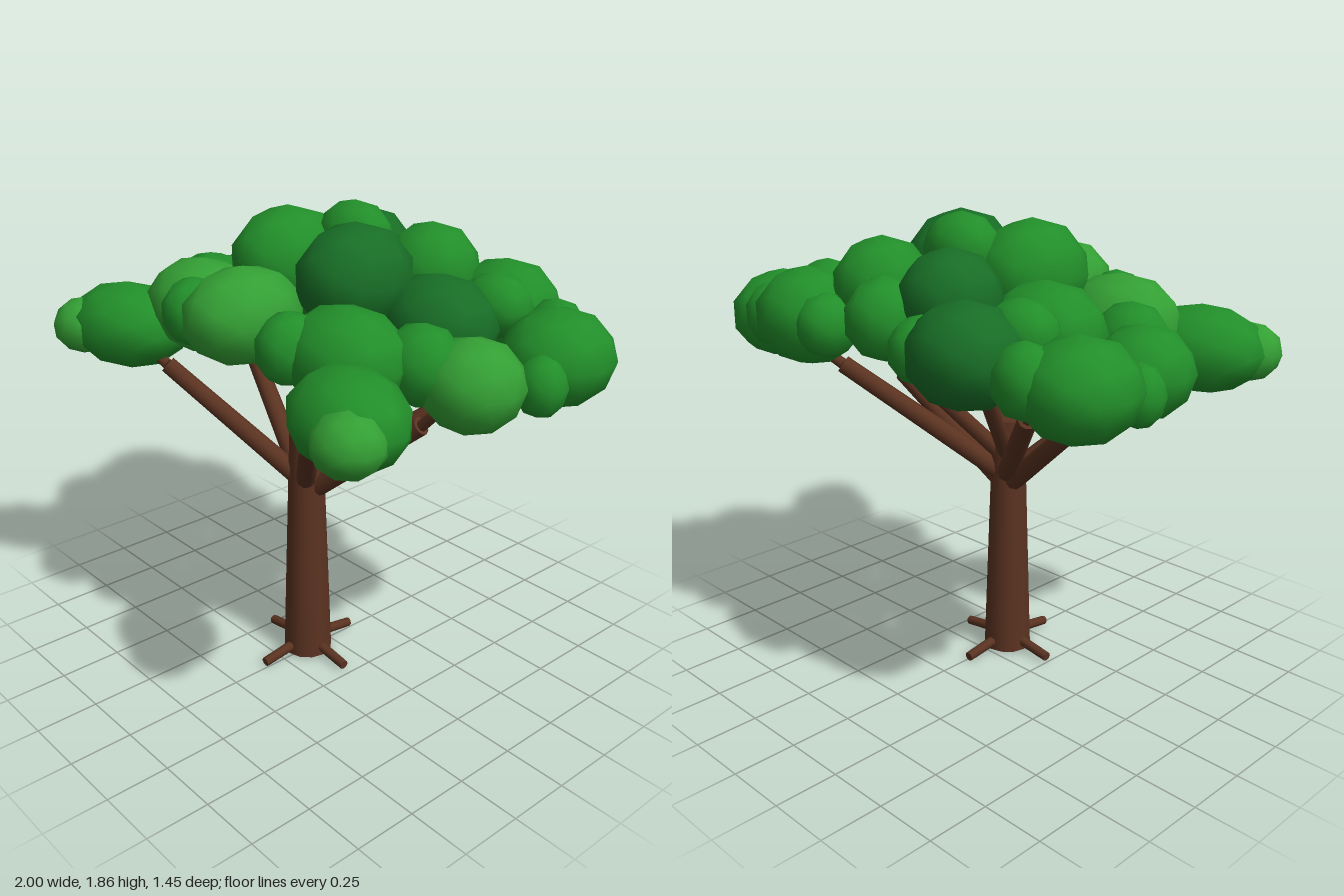
import * as THREE from 'three';

const CX = -0.012; // centre of the trunk
const LEAF_X = -0.007; // mirror line of the foliage
const TRUNK_Z = 0.11;
const material = (color) => new THREE.MeshStandardMaterial({ color });
const bark = material(0x5b3321);
const leaf = { L: material(0x34a034), M: material(0x228f2a), D: material(0x186e26) };

// Tapered round limb between two points
function limb(name, from, to, r0, r1, sides = 10) {
  const a = new THREE.Vector3(...from);
  const b = new THREE.Vector3(...to);
  const dir = b.clone().sub(a);
  const mesh = new THREE.Mesh(new THREE.CylinderGeometry(r1, r0, dir.length(), sides), bark);
  mesh.position.copy(a).add(b).multiplyScalar(0.5);
  mesh.quaternion.setFromUnitVectors(new THREE.Vector3(0, 1, 0), dir.normalize());
  mesh.name = name;
  return mesh;
}

// Leaf clump: centre x, y, z (x from the mirror line), then the three radii
const clumpGeometry = new THREE.IcosahedronGeometry(1, 1);
function clump([x, y, z, rx, ry, rz], shade, turn = 0) {
  const mesh = new THREE.Mesh(clumpGeometry, leaf[shade]);
  mesh.position.set(LEAF_X + x, y, z);
  mesh.scale.set(rx, ry, rz).multiplyScalar(1.03);
  mesh.rotation.y = turn;
  mesh.name = 'leafClump';
  return mesh;
}

// Paired clumps: centre and radii, shades on the +x and -x sides, turn
const pairs = [
  [[0.645, 1.36, 0.48, 0.25, 0.165, 0.195], 'MM', -0.33], // front corners
  [[0.78, 1.35, 0.6, 0.125, 0.11, 0.125], 'LL', -0.3],
  [[0.415, 1.455, 0.285, 0.24, 0.18, 0.205], 'ML', 0], // front inner
  [[0.28, 1.485, 0.42, 0.11, 0.13, 0.125], 'MM', 0],
  [[0.188, 1.64, 0.037, 0.192, 0.2, 0.232], 'DM', 0], // crown
  [[0.182, 1.6, -0.365, 0.185, 0.18, 0.187], 'MD', 0],
  [[0.435, 1.49, -0.147, 0.225, 0.18, 0.2], 'DM', 0], // middle ring
  [[0.52, 1.535, -0.36, 0.14, 0.12, 0.12], 'MM', 0],
  [[0.425, 1.475, -0.527, 0.212, 0.183, 0.198], 'MD', 0], // back
  [[0.26, 1.47, -0.57, 0.115, 0.12, 0.12], 'MM', 0],
  [[0.795, 1.405, -0.38, 0.2, 0.175, 0.215], 'MM', 0], // outer sides
  [[0.68, 1.435, -0.51, 0.12, 0.13, 0.11], 'MM', 0],
  [[0.745, 1.38, 0.005, 0.178, 0.165, 0.187], 'LM', 0],
  [[0.605, 1.44, 0.11, 0.147, 0.145, 0.14], 'MM', 0],
  [[0.88, 1.365, -0.19, 0.092, 0.11, 0.092], 'MM', 0],
];

// Paired limbs: foot and end (x from the trunk), radius, end of the twig
const limbs = [
  ['frontLimb', [0.02, 0.8, 0.13], [0.43, 1.24, 0.45], 0.04, [0.6, 1.34, 0.5]],
  ['sideLimb', [0.02, 0.75, 0.1], [0.49, 1.14, -0.025], 0.042, [0.66, 1.31, -0.04]],
  ['backLimb', [0.02, 0.8, 0.08], [0.51, 1.23, -0.32], 0.042, [0.67, 1.35, -0.42]],
  ['rearLimb', [0.02, 0.88, 0.08], [0.27, 1.38, -0.34], 0.033, [0.34, 1.43, -0.45]],
];

export function createModel() {
  const tree = new THREE.Group();
  tree.name = 'tree';

  // Trunk and four short roots
  tree.add(limb('trunk', [CX, 0.012, TRUNK_Z], [CX, 1.022, TRUNK_Z], 0.1, 0.066, 12));
  for (let i = 0; i < 4; i++) {
    const c = Math.cos(i * Math.PI / 2);
    const s = Math.sin(i * Math.PI / 2);
    tree.add(limb('root', [CX + c * 0.04, 0.054, TRUNK_Z + s * 0.04],
      [CX + c * 0.23, 0.026, TRUNK_Z + s * 0.23], 0.021, 0.019, 8));
  }

  // Limbs, each carrying a thinner twig up into the leaves
  const branches = new THREE.Group();
  branches.name = 'branches';
  const foliage = new THREE.Group();
  foliage.name = 'foliage';
  for (const side of [1, -1]) {
    const flip = ([x, y, z]) => [CX + side * x, y, z];
    for (const [name, from, to, r, tip] of limbs) {
      branches.add(limb(name, flip(from), flip(to), r, r * 0.85));
      branches.add(limb('twig', flip(to), flip(tip), r * 0.55, r * 0.4, 8));
    }
    for (const [[x, ...rest], shades, turn] of pairs) {
      foliage.add(clump([side * x, ...rest], shades[side > 0 ? 0 : 1], side * turn));
    }
  }

  // Clumps on the centre line: front, top, back
  foliage.add(clump([-0.006, 1.53, 0.395, 0.187, 0.175, 0.235], 'L'));
  foliage.add(clump([-0.006, 1.73, -0.14, 0.16, 0.135, 0.13], 'M'));
  foliage.add(clump([-0.014, 1.53, -0.52, 0.14, 0.15, 0.15], 'M'));

  tree.add(branches, foliage);
  return tree;
}
